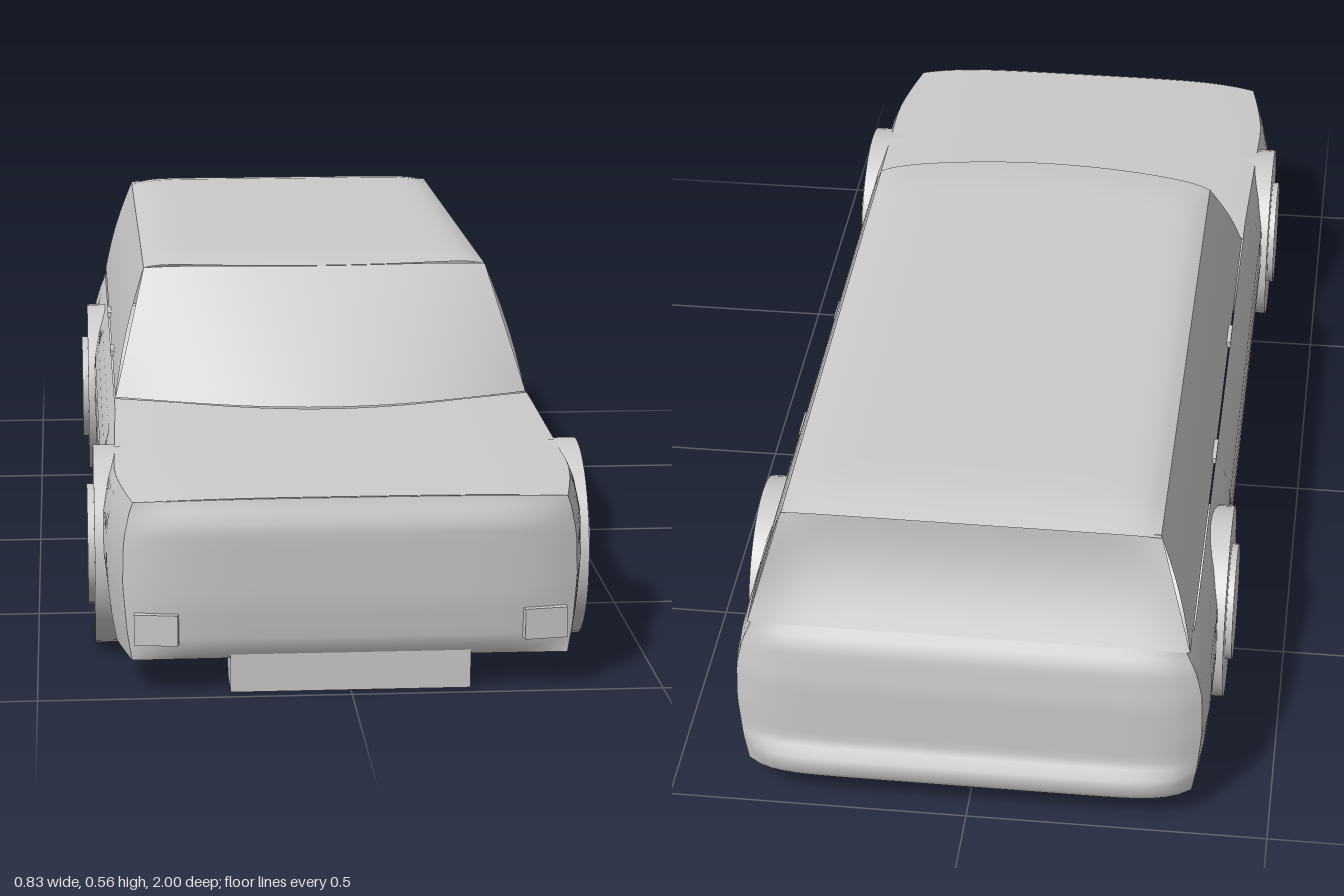
import * as THREE from 'three';

const grey = new THREE.MeshStandardMaterial({ color: 0xcccccc, side: THREE.DoubleSide });
const mix = THREE.MathUtils.lerp;

// piecewise linear lookup in a list of [t, value]
function lookup(table, t) {
  if (t <= table[0][0]) return table[0][1];
  for (let i = 1; i < table.length; i++) {
    const [a, va] = table[i - 1], [b, vb] = table[i];
    if (t <= b) return mix(va, vb, (t - a) / (b - a));
  }
  return table[table.length - 1][1];
}

// smooth sheet of (nu x nv) cells; fn(u, v) gives [x, y, z]
function sheet(name, nu, nv, fn) {
  const pos = [], index = [];
  for (let j = 0; j <= nv; j++)
    for (let i = 0; i <= nu; i++) pos.push(...fn(i / nu, j / nv));
  for (let j = 0; j < nv; j++)
    for (let i = 0; i < nu; i++) {
      const a = j * (nu + 1) + i, b = a + 1, c = a + nu + 1, d = c + 1;
      index.push(a, b, d, a, d, c);
    }
  const g = new THREE.BufferGeometry();
  g.setAttribute('position', new THREE.Float32BufferAttribute(pos, 3));
  g.setIndex(index);
  g.computeVertexNormals();
  const m = new THREE.Mesh(g, grey);
  m.name = name;
  return m;
}

function box(name, w, h, d, x, y, z) {
  const m = new THREE.Mesh(new THREE.BoxGeometry(w, h, d), grey);
  m.position.set(x, y, z);
  m.name = name;
  return m;
}

// body rules: half width by height and length, and height of the belt line
const FRONT = 0.97, REAR = -0.955, SILL = 0.055, AXLES = [0.655, -0.58];
const widthByHeight = [[0.05, 0.378], [0.1, 0.387], [0.18, 0.394], [0.25, 0.392], [0.3, 0.381], [0.345, 0.362]];
const taper = z => z > 0.78 ? 1 - 0.085 * ((z - 0.78) / 0.2) ** 1.4
  : z < -0.85 ? 1 - 0.02 * ((-0.85 - z) / 0.1) ** 2 : 1;
const halfWidth = (y, z) => lookup(widthByHeight, y) * taper(z);
const belt = z => lookup([[-1, 0.34], [0.4, 0.34], [1, 0.312]], z);

// lower edge of the side panels as [z, y], running over both wheel arches
function sillLine() {
  const line = [];
  const straight = (a, b, n) => { for (let i = 0; i <= n; i++) line.push([mix(a, b, i / n), SILL]); };
  const r = 0.195;
  const arch = c => {
    for (let i = 1; i < 24; i++) {
      const t = Math.PI * i / 24;
      line.push([c + r * Math.cos(t), SILL + 0.25 * Math.sin(t) ** 0.9]);
    }
  };
  straight(FRONT, AXLES[0] + r, 6);
  arch(AXLES[0]);
  straight(AXLES[0] - r, AXLES[1] + r, 14);
  arch(AXLES[1]);
  straight(AXLES[1] - r, REAR, 10);
  return line;
}

const screenBase = x => 0.46 - x * x;
const screenTop = x => 0.215 - 0.5 * x * x;
const ROOF_X = 0.307, ROOF_Y = 0.543, BASE_X = 0.362, TAIL = -0.9;
const roofY = z => mix(0.56, 0.547, (0.2 - z) / 1.1);
const eaveY = z => mix(ROOF_Y, 0.53, (0.2 - z) / 1.1);

export function createModel() {
  const car = new THREE.Group();

  // lower body sides and window sides
  const sill = sillLine(), n = sill.length - 1;
  for (const s of [1, -1]) {
    const side = s > 0 ? 'left' : 'right';
    car.add(sheet(side + 'BodySide', n, 10, (u, v) => {
      const [z, low] = sill[Math.round(u * n)];
      const y = mix(low, belt(z), v);
      return [s * halfWidth(y, z), y, z];
    }));
    car.add(sheet(side + 'CabinSide', 12, 6, (u, v) => {
      const z = mix(mix(screenBase(BASE_X), screenTop(ROOF_X), v), mix(REAR, TAIL, v), u);
      return [s * (mix(BASE_X, ROOF_X, v) + 0.006 * Math.sin(Math.PI * v)), mix(belt(z), eaveY(z), v), z];
    }));
    // door handles
    for (const z of [-0.03, -0.4])
      car.add(box(side + 'DoorHandle', 0.012, 0.01, 0.06, s * 0.36, 0.352, z));
    // front lamp surround under the nose corner
    const lamp = box(side + 'LowerLamp', 0.07, 0.05, 0.02, s * 0.31, 0.11, 0.985);
    lamp.rotation.y = s * 0.15;
    car.add(lamp);
  }

  // nose
  const noseZ = [[0.05, 0.965], [0.075, 0.985], [0.15, 0.995], [0.28, 1], [0.312, 0.985]];
  car.add(sheet('frontPanel', 32, 14, (u, v) => {
    const k = 2 * u - 1, y = mix(SILL, belt(FRONT) + 0.008 * (1 - k ** 4) * v, v);
    const w = halfWidth(Math.min(y, belt(FRONT)), FRONT);
    return [k * w, y, mix(lookup(noseZ, y), FRONT, Math.abs(k) ** 6)];
  }));

  // bonnet, gently crowned
  car.add(sheet('bonnet', 32, 16, (u, v) => {
    const k = 2 * u - 1, edge = Math.abs(k) ** 6;
    const z = mix(screenBase(k * BASE_X), mix(0.988, FRONT, edge), v);
    return [k * halfWidth(belt(z), z), belt(z) + 0.008 * (1 - k ** 4), z];
  }));

  // windscreen, bowed forward
  car.add(sheet('windscreen', 24, 8, (u, v) => {
    const k = 2 * u - 1, x = k * mix(BASE_X, ROOF_X, v);
    return [x, mix(0.342 + 0.006 * (1 - k ** 4), ROOF_Y + 0.008 * (1 - k ** 4), v), mix(screenBase(x), screenTop(x), v)];
  }));

  // roof with rounded edges
  car.add(sheet('roof', 40, 24, (u, v) => {
    const k = 2 * u - 1, x = k * ROOF_X;
    const z = mix(screenTop(x), TAIL - 0.008, v);
    const crown = (1 - Math.abs(k) ** 12) * Math.min(1, 0.5 + v * 8, 0.1 + (1 - v) * 16);
    return [x, mix(eaveY(z), roofY(z), crown), z];
  }));

  // rear window, slightly sunk below the roof edge
  car.add(sheet('rearWindow', 24, 10, (u, v) => {
    const k = 2 * u - 1;
    const sink = 0.018 * Math.sin(Math.PI * v) * (1 - k ** 8);
    return [k * mix(BASE_X, ROOF_X, v), mix(0.34, 0.531, v), mix(REAR, TAIL, v) + sink];
  }));

  // tailgate and rear bumper
  const tailZ = [[0.055, -0.99], [0.07, -1], [0.1, -1], [0.115, -0.982], [0.24, -0.983], [0.31, -0.975], [0.34, -0.955]];
  car.add(sheet('tailPanel', 36, 20, (u, v) => {
    const k = 2 * u - 1, y = mix(SILL, 0.34, v);
    return [k * halfWidth(y, REAR), y, mix(lookup(tailZ, y), REAR, Math.abs(k) ** 10)];
  }));

  // full-width wheel drums with hub discs
  for (const [i, z] of AXLES.entries()) {
    for (const [name, r, w] of [['WheelDrum', 0.165, 0.81], ['Hubs', 0.1, 0.832]]) {
      const m = new THREE.Mesh(new THREE.CylinderGeometry(r, r, w, 40), grey);
      m.rotation.z = Math.PI / 2;
      m.position.set(0, 0.165, z);
      m.name = (i ? 'rear' : 'front') + name;
      car.add(m);
    }
  }

  // blocks under the floor
  car.add(box('frontBlock', 0.385, 0.065, 0.1, 0, 0.0325, 0.925));
  car.add(box('middleBlock', 0.385, 0.075, 0.42, 0, 0.0375, 0.04));
  car.add(box('rearBlock', 0.385, 0.065, 0.1, 0, 0.0325, -0.865));
  return car;
}
